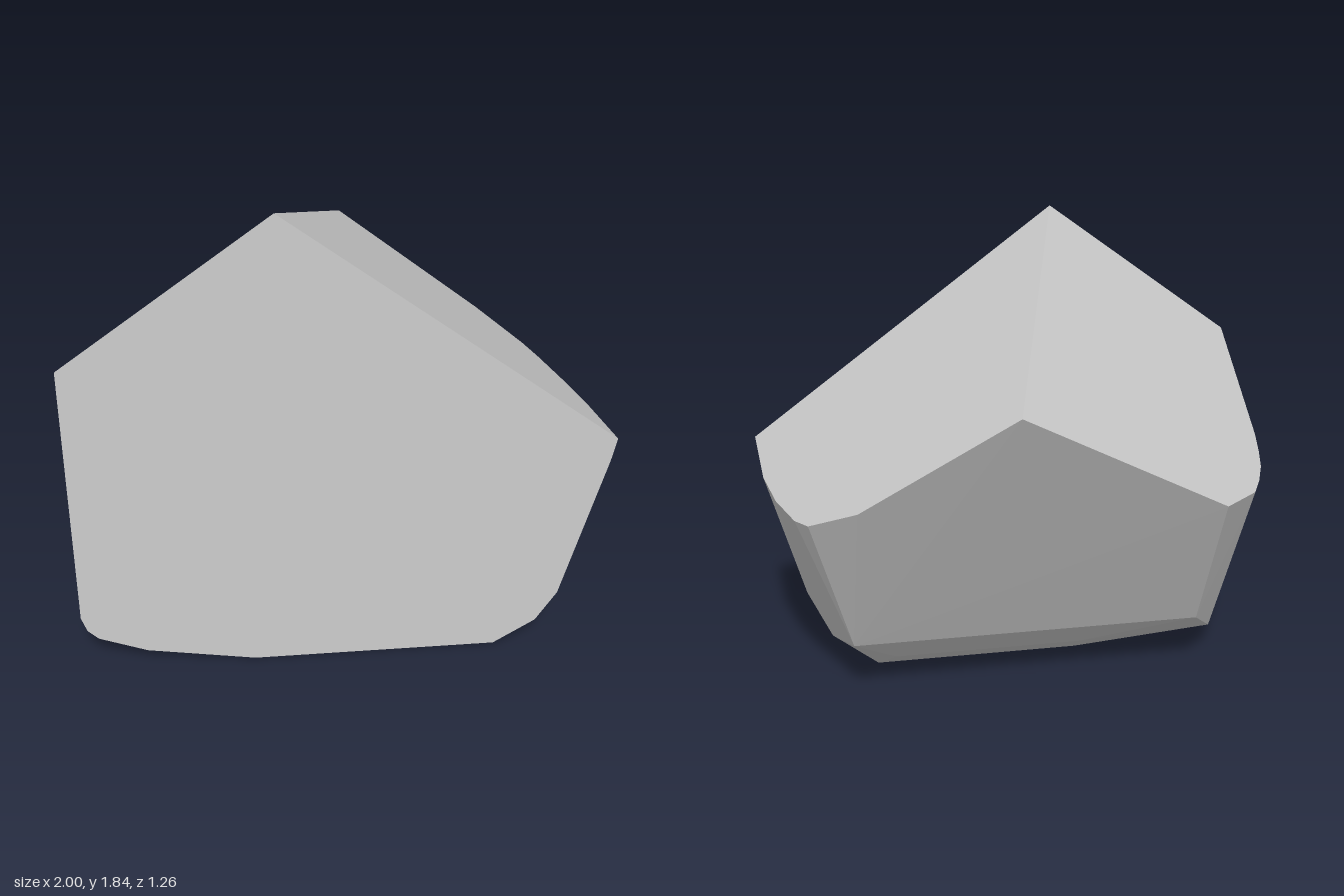
import * as THREE from 'three';
import { ConvexGeometry } from 'three/addons/geometries/ConvexGeometry.js';

const V = (x, y, z) => new THREE.Vector3(x, y, z);

// Height of the plane through three points, at a given x and z
function planeHeight(a, b, c) {
  const p = new THREE.Plane().setFromCoplanarPoints(a, b, c);
  return (x, z) => -(p.constant + p.normal.x * x + p.normal.z * z) / p.normal.y;
}

export function createModel() {
  const group = new THREE.Group();
  group.name = 'rock';
  const stone = new THREE.MeshStandardMaterial({ color: 0xc8c8c8 });
  stone.name = 'light grey stone';

  // Flat front and sloping back, given as depth rules
  const frontZ = (x, y) => 0.625 + 0.0097 * x - 0.0608 * y;
  const backZ = (y) => -0.09 - 0.5094 * (y - 0.23);

  // Corners of the roof-like top
  const front = (x, y) => V(x, y, frontZ(x, y));
  const peak = front(-0.235, 1.84);
  const rightTip = front(1, 0.905);
  const leftTip = front(-1, 1.29);
  const ridgeEnd = V(0.105, 1.29, backZ(1.29));
  const leftRoof = planeHeight(peak, ridgeEnd, leftTip);
  const rightRoof = planeHeight(peak, ridgeEnd, rightTip);

  const points = [peak, rightTip, leftTip, ridgeEnd];

  // Rounded rims of the two top facets
  [[-0.735, -0.4], [-0.9, -0.24], [-0.94, -0.17], [-0.975, -0.09], [-0.99, -0.02], [-1, 0.06]]
    .forEach(([x, z]) => points.push(V(x, leftRoof(x, z), z)));
  [[0.665, -0.432], [0.835, -0.275], [0.88, -0.18], [0.94, 0.03], [0.98, 0.25]]
    .forEach(([x, z]) => points.push(V(x, rightRoof(x, z), z)));

  // Outline of the front face, right side down and round to the left
  [[0.98, 0.81], [0.82, 0.225], [0.74, 0.1], [0.58, 0], [-0.35, 0],
    [-0.76, 0.07], [-0.94, 0.14], [-0.98, 0.18], [-1, 0.24]]
    .forEach(([x, y]) => points.push(front(x, y)));

  // Lower back edge, bevel and base
  points.push(
    V(0.67, 0.23, -0.09), V(-0.73, 0.23, -0.09),
    V(0.49, 0.1, 0.05), V(-0.27, 0.1, 0.05),
    V(0.55, 0, 0.21), V(-0.29, 0, 0.21),
    V(0.58, 0, 0.29), V(0.73, 0.1, 0.3), V(0.82, 0.225, 0.48),
    V(-0.85, 0.1, 0.1), V(-0.955, 0.103, 0.36)
  );

  const body = new THREE.Mesh(new ConvexGeometry(points), stone);
  body.name = 'rockBody';
  group.add(body);
  return group;
}
